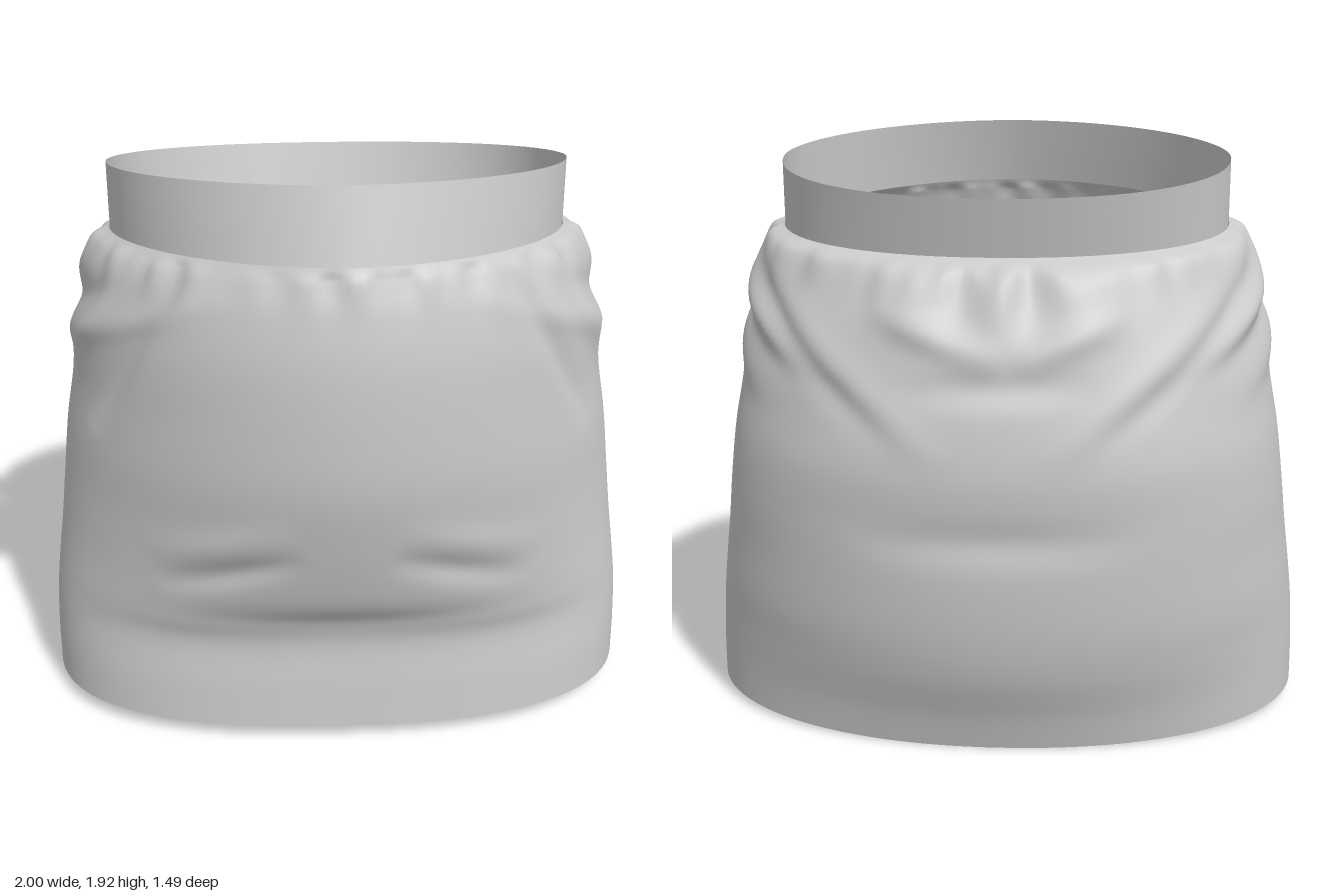
import * as THREE from 'three';

const SEGMENTS = 192;
const material = new THREE.MeshStandardMaterial({ color: 0xcccccc, side: THREE.DoubleSide });

// Cross-sections from bottom to top:
// y at front, side, back; half width; depth to front, back; squareness of front, back
const SKIRT = [
  [0.055, 0.05, 0.0, 1.0, 0.57, 0.57, 2.5, 2.1],
  [0.2, 0.2, 0.12, 0.998, 0.56, 0.61, 2.5, 2.05],
  [0.36, 0.35, 0.27, 0.99, 0.55, 0.67, 2.45, 2.0],
  [0.46, 0.48, 0.42, 0.975, 0.59, 0.705, 2.3, 2.05],
  [0.6, 0.63, 0.6, 0.955, 0.645, 0.725, 2.1, 2.1],
  [0.8, 0.8, 0.78, 0.935, 0.70, 0.73, 1.95, 2.2],
  [1.0, 0.98, 0.94, 0.912, 0.74, 0.74, 1.9, 2.2],
  [1.2, 1.16, 1.1, 0.88, 0.748, 0.722, 1.9, 2.15],
  [1.4, 1.35, 1.27, 0.862, 0.74, 0.685, 1.9, 2.1],
  [1.55, 1.5, 1.42, 0.825, 0.715, 0.63, 1.9, 2.1],
  [1.64, 1.6, 1.53, 0.785, 0.69, 0.57, 1.85, 2.15],
  [1.7, 1.63, 1.57, 0.732, 0.667, 0.495, 1.8, 2.15],
];
const BAND = [
  [1.7, 1.62, 1.56, 0.73, 0.667, 0.49, 1.8, 2.15],
  [1.92, 1.84, 1.75, 0.73, 0.6, 0.54, 1.85, 2.15],
];

// Folds run in a straight line from (angle, y) to (angle, y).
// Angles in degrees: 0 = left side, 90 = front, 180 = right side, 270 = back.
const fold = (a0, y0, a1, y1, width, height) => ({ a0, y0, a1, y1, width, height });
const mirrored = (f) => [f, { ...f, a0: 180 - f.a0, a1: 180 - f.a1 }];
const FOLDS = [
  // creases across the front
  fold(42, 0.46, 138, 0.46, 0.06, -0.018),
  ...mirrored(fold(40, 0.6, 80, 0.76, 0.045, -0.016)),
  ...mirrored(fold(38, 0.7, 78, 0.86, 0.06, 0.01)),
  // drapes sweeping from the hips down to the back
  ...mirrored(fold(62, 1.6, -35, 1.1, 0.045, 0.014)),
  ...mirrored(fold(40, 1.6, -45, 1.17, 0.045, -0.018)),
  ...mirrored(fold(15, 1.6, -52, 1.18, 0.045, 0.02)),
  ...mirrored(fold(-5, 1.58, -68, 1.03, 0.045, -0.02)),
  ...mirrored(fold(-18, 1.54, -80, 0.97, 0.055, 0.016)),
  // tucks beside the hips
  ...mirrored(fold(50, 1.68, 22, 1.05, 0.04, -0.024)),
  ...mirrored(fold(34, 1.66, 10, 1.2, 0.045, 0.018)),
  // slack under the back of the waist
  fold(235, 1.42, 266, 1.28, 0.05, 0.022),
  fold(268, 1.28, 305, 1.44, 0.05, 0.024),
  fold(245, 1.22, 295, 1.2, 0.05, -0.016),
  fold(235, 0.74, 305, 0.74, 0.06, -0.012),
];

// Bump of one fold, fading towards its ends, with distances measured along the cloth
function foldHeight(f, degrees, y) {
  const scale = 0.8 * Math.PI / 180;
  const wrap = (d) => d - 360 * Math.round(d / 360);
  const px = wrap(degrees - f.a0) * scale, py = y - f.y0;
  const dx = (f.a1 - f.a0) * scale, dy = f.y1 - f.y0;
  const k = THREE.MathUtils.clamp((px * dx + py * dy) / (dx * dx + dy * dy), 0, 1);
  const distance = Math.hypot(px - k * dx, py - k * dy);
  return f.height * Math.sin(Math.PI * k) * Math.exp(-((distance / f.width) ** 2));
}

// Folds plus small irregular gathers that fade away below the waistband
function drape(angle, y, t) {
  const gather = Math.sin(angle * 23 + Math.sin(angle * 3) * 2) + 0.7 * Math.sin(angle * 37 + 1.3 * Math.sin(angle * 5));
  const back = Math.max(0, -Math.sin(angle));
  const pucker = Math.sin(angle * 11 + 2 * Math.sin(angle * 4));
  const fade = THREE.MathUtils.smoothstep(1 - t, 0, 0.06);
  let out = 0.007 * gather * Math.exp(-(((t - 0.93) / 0.08) ** 2));
  out += 0.02 * back * pucker * Math.exp(-(((t - 0.86) / 0.08) ** 2));
  for (const f of FOLDS) out += foldHeight(f, THREE.MathUtils.radToDeg(angle), y);
  return out * fade * THREE.MathUtils.smoothstep(t, 0, 0.15);
}

// Joins smoothly interpolated cross-sections into an open tube of cloth
function clothTube(name, sections, rows, displace = () => 0) {
  const spline = new THREE.CubicInterpolant(sections.map((_, i) => i), new Float32Array(sections.flat()), 8);
  const positions = [], indices = [];
  for (let j = 0; j <= rows; j++) {
    const t = j / rows;
    const [yFront, ySide, yBack, width, front, back, nFront, nBack] = spline.evaluate(t * (sections.length - 1));
    for (let i = 0; i < SEGMENTS; i++) {
      const angle = (i / SEGMENTS) * Math.PI * 2;
      const c = Math.cos(angle), s = Math.sin(angle);
      const [yEnd, depth, n] = s >= 0 ? [yFront, front, nFront] : [yBack, back, nBack];
      const radius = (Math.abs(c / width) ** n + Math.abs(s / depth) ** n) ** (-1 / n);
      const y = ySide + (yEnd - ySide) * Math.abs(s * radius) / depth;
      const r = radius + displace(angle, y, t);
      positions.push(c * r, y, s * r);
      if (j < rows) {
        const a = j * SEGMENTS + i, b = j * SEGMENTS + (i + 1) % SEGMENTS;
        indices.push(a, a + SEGMENTS, b, b, a + SEGMENTS, b + SEGMENTS);
      }
    }
  }
  const geometry = new THREE.BufferGeometry();
  geometry.setAttribute('position', new THREE.Float32BufferAttribute(positions, 3));
  geometry.setIndex(indices);
  geometry.computeVertexNormals();
  const mesh = new THREE.Mesh(geometry, material);
  mesh.name = name;
  return mesh;
}

export function createModel() {
  const group = new THREE.Group();
  group.name = 'skirt';
  group.add(clothTube('skirtBody', SKIRT, 120, drape));
  group.add(clothTube('waistband', BAND, 4));
  return group;
}
